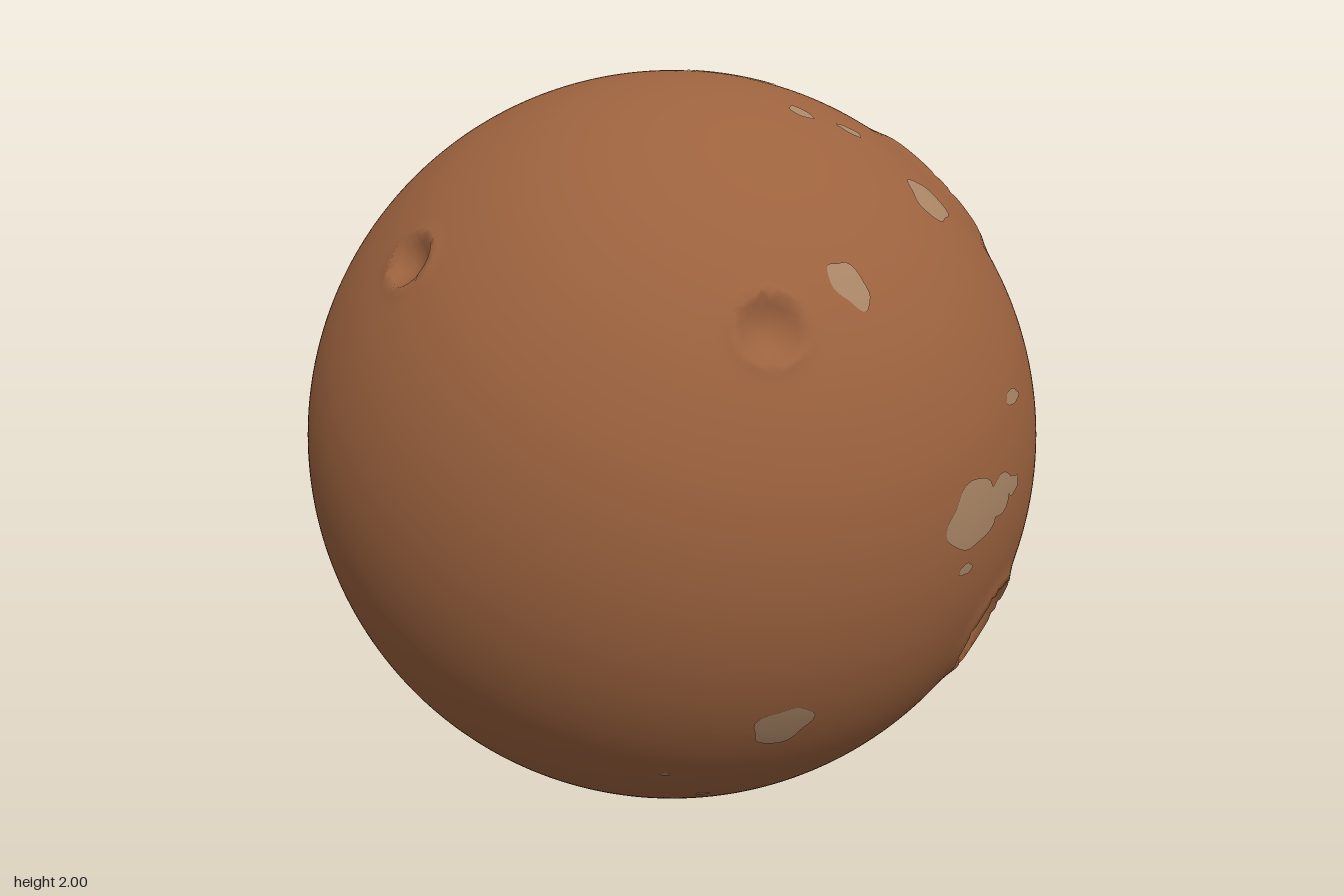
import * as THREE from 'three';
import { mergeVertices } from 'three/addons/utils/BufferGeometryUtils.js';

const UP = new THREE.Vector3(0, 1, 0);

// Craters: direction from the planet's centre, then radius
const CRATERS = [
  [-0.44, 0.57, 0.70, 0.075],
  [0.455, 0.465, 0.77, 0.083],
  [0.66, 0.68, -0.32, 0.21],
  [0.90, -0.40, 0.18, 0.137],
  [0.34, -0.58, -0.74, 0.163],
  [-0.73, -0.64, 0.22, 0.165],
  [-0.49, -0.35, -0.80, 0.145],
].map(([x, y, z, r]) => ({ dir: new THREE.Vector3(x, y, z).normalize(), r }));

// Dust patches: direction, half width (east), half height (north), tilt
const PATCHES = [
  [0.15, 0.99, -0.03, 0.07, 0.125, 0],
  [0.71, 0.69, 0.16, 0.07, 0.065, -0.4],
  [0.50, 0.85, 0.14, 0.02, 0.035, 0.6],
  [0.39, 0.90, 0.20, 0.025, 0.035, 0.2],
  [0.59, 0.54, 0.60, 0.04, 0.065, 0.5],
  [0.94, 0.23, 0.25, 0.045, 0.019, 0],
  [0.88, -0.01, 0.47, 0.10, 0.085, 0.2],
  [0.93, 0.01, 0.37, 0.075, 0.05, 0.3],
  [0.96, 0.02, 0.29, 0.035, 0.025, 0],
  [0.87, -0.145, 0.475, 0.027, 0.015, 0],
  [0.97, -0.05, -0.22, 0.038, 0.022, -0.4],
  [0.77, -0.07, -0.63, 0.11, 0.11, 0.4],
  [0.49, -0.49, 0.73, 0.075, 0.065, 0.5],
  [0.48, -0.88, 0.00, 0.075, 0.085, 0.3],
  [0.31, -0.95, -0.01, 0.05, 0.065, 0],
  [-0.01, -0.91, 0.41, 0.052, 0.06, 0],
  [0.25, -0.78, 0.57, 0.018, 0.02, 0],
  [0.20, -0.65, 0.73, 0.012, 0.01, 0],
  [0.55, -0.79, 0.28, 0.028, 0.025, 0],
  [-0.84, -0.25, -0.48, 0.028, 0.024, 0.6],
];

// Height change at t = distance / crater radius: bowl inside, low lip outside
function craterHeight(t, r) {
  const lip = 0.07 * r;
  if (t < 1) return lip - 0.5 * r * (1 - t * t);
  return t < 1.5 ? lip * ((1.5 - t) / 0.5) ** 2 : 0;
}

function planetGeometry() {
  let geo = new THREE.IcosahedronGeometry(1, 60);
  geo.deleteAttribute('uv');
  geo.deleteAttribute('normal');
  geo = mergeVertices(geo, 1e-5);
  const pos = geo.attributes.position;
  const v = new THREE.Vector3();
  const axis = new THREE.Vector3();
  for (let i = 0; i < pos.count; i++) {
    v.fromBufferAttribute(pos, i).normalize();
    let h = 0;
    for (const { dir, r } of CRATERS) {
      let d = v.angleTo(dir);
      if (d > 1.5 * r) continue;
      // Pull vertices near the rim onto it so the edge stays crisp
      if (Math.abs(d - r) < 0.008) {
        axis.crossVectors(dir, v).normalize();
        v.copy(dir).applyAxisAngle(axis, r);
        d = r;
      }
      h += craterHeight(d / r, r);
    }
    v.multiplyScalar(1 + h);
    pos.setXYZ(i, v.x, v.y, v.z);
  }
  geo.computeVertexNormals();
  return geo;
}

// Irregular blob lying just above the sphere, built from rings
function patchGeometry([x, y, z, rx, ry, tilt], seed) {
  const dir = new THREE.Vector3(x, y, z).normalize();
  const east = new THREE.Vector3().crossVectors(UP, dir).normalize();
  const north = new THREE.Vector3().crossVectors(dir, east);
  const rings = 4, sides = 28;
  const points = [], normals = [], index = [];
  const add = (a, b) => {
    const p = dir.clone().addScaledVector(east, a).addScaledVector(north, b).normalize();
    normals.push(p.x, p.y, p.z);
    p.multiplyScalar(1.002);
    points.push(p.x, p.y, p.z);
  };
  add(0, 0);
  for (let k = 1; k <= rings; k++) {
    for (let s = 0; s < sides; s++) {
      const a = (s / sides) * Math.PI * 2;
      const wobble = 1 + 0.08 * Math.sin(3 * a + seed * 1.7) + 0.06 * Math.sin(5 * a + seed * 2.9);
      const f = (k / rings) * wobble;
      const px = rx * f * Math.cos(a), py = ry * f * Math.sin(a);
      add(px * Math.cos(tilt) - py * Math.sin(tilt), px * Math.sin(tilt) + py * Math.cos(tilt));
      const s2 = (s + 1) % sides;
      const o = 1 + (k - 1) * sides, n = o - sides;
      if (k === 1) index.push(0, o + s, o + s2);
      else index.push(n + s, o + s, o + s2, n + s, o + s2, n + s2);
    }
  }
  const geo = new THREE.BufferGeometry();
  geo.setAttribute('position', new THREE.Float32BufferAttribute(points, 3));
  geo.setAttribute('normal', new THREE.Float32BufferAttribute(normals, 3));
  geo.setIndex(index);
  return geo;
}

export function createModel() {
  const rock = new THREE.MeshStandardMaterial({ color: 0x9c623e });
  rock.name = 'rust brown rock';
  const dust = new THREE.MeshStandardMaterial({ color: 0xa98565 });
  dust.name = 'pale dust';

  const model = new THREE.Group();
  model.name = 'crateredPlanet';

  // Ground with its craters
  const ground = new THREE.Mesh(planetGeometry(), rock);
  ground.name = 'planetSurface';
  model.add(ground);

  // Pale patches
  const patches = new THREE.Group();
  patches.name = 'dustPatches';
  PATCHES.forEach((p, i) => {
    const mesh = new THREE.Mesh(patchGeometry(p, i), dust);
    mesh.name = `dustPatch${i + 1}`;
    patches.add(mesh);
  });
  model.add(patches);

  model.position.y = 1;
  return model;
}
